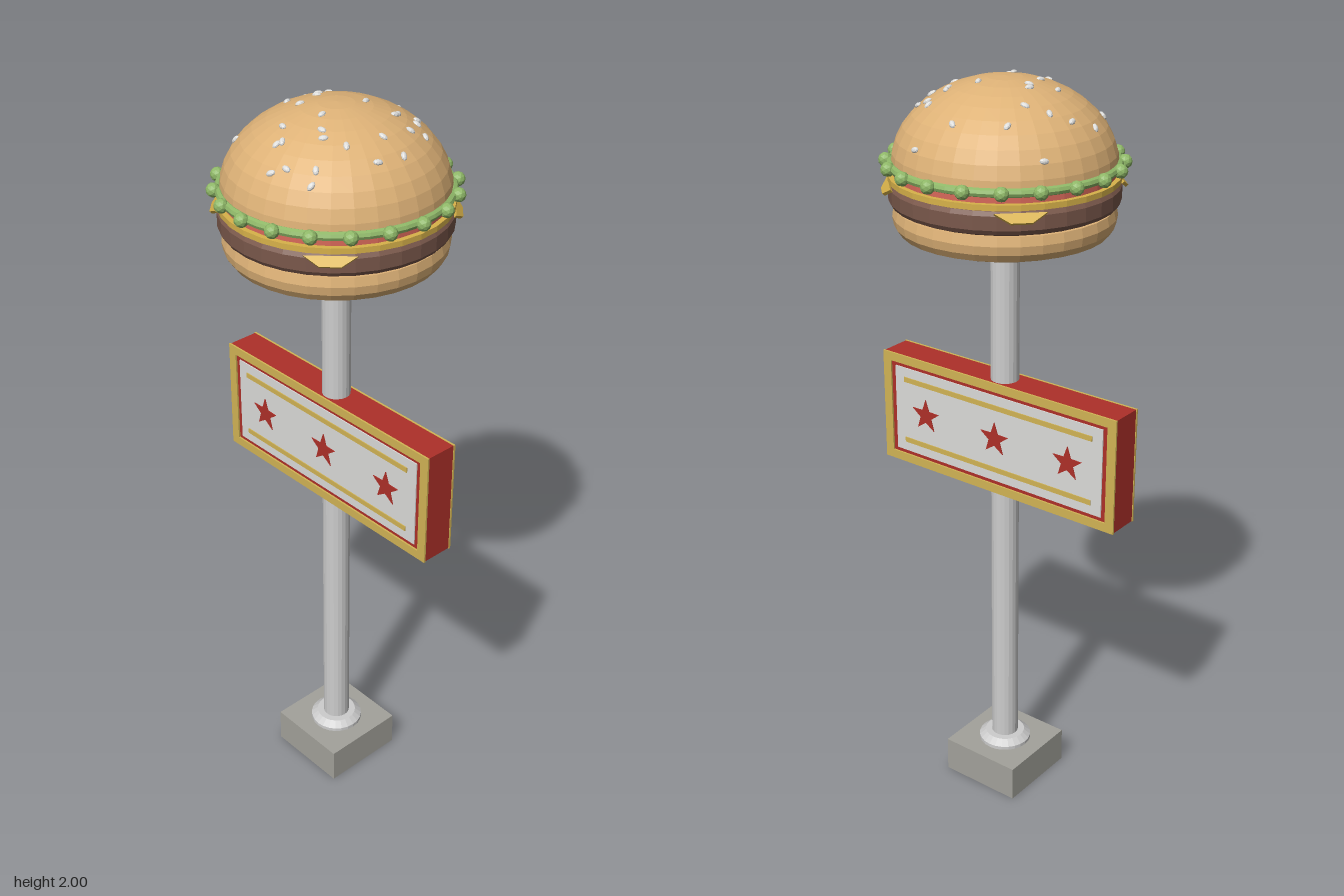
import * as THREE from 'three';

const mat = (name, color) => {
  const m = new THREE.MeshStandardMaterial({ color, flatShading: true });
  m.name = name;
  return m;
};

export function createModel() {
  const M = {
    bun: mat('toasted bun', 0xdeb277),
    patty: mat('grilled brown', 0x7a584b),
    cheese: mat('cheese yellow', 0xd8b24a),
    tomato: mat('tomato red', 0xd9695a),
    lettuce: mat('lettuce green', 0x8fb868),
    red: mat('sign red', 0xae3029),
    gold: mat('trim gold', 0xd2b455),
    white: mat('panel white', 0xdcdcda),
    steel: mat('pole grey', 0xcdcdcd),
    concrete: mat('concrete grey', 0xa3a29b),
  };
  const root = new THREE.Group();
  root.name = 'burgerSign';
  const add = (parent, name, geo, material, x = 0, y = 0, z = 0) => {
    const mesh = new THREE.Mesh(geo, material);
    mesh.name = name;
    mesh.position.set(x, y, z);
    parent.add(mesh);
    return mesh;
  };
  const lathe = (pts, seg = 32) =>
    new THREE.LatheGeometry(pts.map(([r, y]) => new THREE.Vector2(r, y)), seg);
  const plate = (shape, depth) =>
    new THREE.ExtrudeGeometry(shape, { depth, bevelEnabled: false });
  const rect = (C, w, h) => {
    const s = new C();
    s.moveTo(-w, -h); s.lineTo(w, -h); s.lineTo(w, h); s.lineTo(-w, h); s.closePath();
    return s;
  };

  // Base, collar and pole
  add(root, 'base', new THREE.BoxGeometry(0.236, 0.1, 0.236), M.concrete, 0, 0.05, 0);
  add(root, 'collar', lathe([[0, 0.1], [0.073, 0.1], [0.073, 0.11], [0.055, 0.125], [0, 0.125]], 24), M.steel);
  add(root, 'pole', new THREE.CylinderGeometry(0.037, 0.037, 1.53, 20), M.steel, 0, 0.865, 0);

  // Sign box with the same decorated face on front and back
  const sign = new THREE.Group();
  sign.name = 'signBoard';
  sign.position.y = 1.067;
  root.add(sign);
  add(sign, 'signBox', new THREE.BoxGeometry(0.752, 0.312, 0.084), M.red);

  const frameShape = rect(THREE.Shape, 0.378, 0.157);
  frameShape.holes.push(rect(THREE.Path, 0.352, 0.133));
  const frameGeo = plate(frameShape, 0.005);
  const star = new THREE.Shape();
  for (let i = 0; i < 10; i++) {
    const r = i % 2 ? 0.019 : 0.047, a = Math.PI / 2 + (i * Math.PI) / 5;
    star[i ? 'lineTo' : 'moveTo'](r * Math.cos(a), r * Math.sin(a));
  }
  star.closePath();
  const starGeo = plate(star, 0.003);
  for (const side of [0, 1]) {
    const face = new THREE.Group();
    face.name = side ? 'backFace' : 'frontFace';
    face.rotation.y = side * Math.PI;
    sign.add(face);
    add(face, 'frame', frameGeo, M.gold, 0, 0, 0.042);
    add(face, 'panel', new THREE.BoxGeometry(0.676, 0.244, 0.003), M.white, 0, 0, 0.0435);
    for (const s of [-1, 1])
      add(face, 'stripe', new THREE.BoxGeometry(0.614, 0.014, 0.003), M.gold, 0, s * 0.089, 0.046);
    for (const x of [-0.233, 0, 0.233]) add(face, 'star', starGeo, M.red, x, 0, 0.0445);
  }

  // Burger layers, bottom to top
  const burger = new THREE.Group();
  burger.name = 'burger';
  root.add(burger);
  add(burger, 'bottomBun', lathe([[0, 1.618], [0.238, 1.618], [0.26, 1.626], [0.273, 1.645],
    [0.277, 1.667], [0.272, 1.69], [0, 1.69]]), M.bun);
  add(burger, 'patty', lathe([[0, 1.685], [0.262, 1.69], [0.278, 1.697], [0.285, 1.708],
    [0.285, 1.742], [0.278, 1.752], [0.262, 1.757], [0, 1.757]]), M.patty);
  add(burger, 'cheese', new THREE.CylinderGeometry(0.285, 0.285, 0.014, 32), M.cheese, 0, 1.762, 0);
  add(burger, 'tomato', new THREE.CylinderGeometry(0.272, 0.272, 0.022, 32), M.tomato, 0, 1.779, 0);

  // Cheese corners drooping over the patty
  const corner = new THREE.Shape();
  corner.moveTo(-0.062, 0);
  corner.lineTo(0.062, 0);
  corner.lineTo(0.025, -0.026);
  corner.lineTo(-0.025, -0.026);
  corner.closePath();
  const cornerGeo = plate(corner, 0.008);
  cornerGeo.rotateX(-0.75);
  for (let i = 0; i < 4; i++) {
    const a = Math.PI / 4 + (i * Math.PI) / 2;
    const c = add(burger, 'cheeseCorner', cornerGeo, M.cheese, Math.sin(a) * 0.277, 1.745, Math.cos(a) * 0.277);
    c.rotation.y = a;
  }

  // Lettuce ring with ruffles
  const ring = new THREE.TorusGeometry(0.277, 0.011, 8, 40);
  ring.rotateX(Math.PI / 2);
  add(burger, 'lettuceRing', ring, M.lettuce, 0, 1.795, 0);
  const ruffle = new THREE.IcosahedronGeometry(0.018, 1);
  for (let i = 0; i < 20; i++) {
    const a = (i * Math.PI) / 10;
    add(burger, 'lettuceRuffle', ruffle, M.lettuce, Math.sin(a) * 0.29, 1.796, Math.cos(a) * 0.29);
  }

  // Domed top bun
  const R = 0.277, H = 0.212, Y = 1.788;
  const dome = [[0, Y]];
  for (let i = 0; i <= 10; i++) {
    const a = (i / 10) * (Math.PI / 2);
    dome.push([i === 10 ? 0 : R * Math.cos(a), Y + H * Math.sin(a)]);
  }
  add(burger, 'topBun', lathe(dome), M.bun);

  // Sesame seeds lying on the dome: x, z in hundredths
  const seeds = [
    [7, -25], [-1, -21], [-13, -16], [-22, -14], [-12.7, -9], [-17.5, -6], [-21, -2], [-9, -2.4],
    [-7.7, -0.8], [-23, 4.6], [-12.4, 4.2], [-6.5, 5.4], [-17.3, 16], [-2.6, 14], [1, 17.3], [0.2, 18.3],
    [3.6, 23], [6.6, 21], [12.5, 17.5], [13.5, 19.8], [8.5, 11.7], [6.5, 10.3], [13.5, 9.3], [2.4, 6.6],
    [19.8, 5.6], [15.7, 0.2], [20.8, -1.4], [3, -6.4], [10.7, -15.5], [12.7, -13.5], [16.5, -12.5],
    [9.7, -10.2], [10, -9], [15.3, -8.8],
  ];
  const seedGeo = new THREE.SphereGeometry(1, 8, 6);
  seedGeo.scale(0.012, 0.006, 0.0075);
  const up = new THREE.Vector3(0, 1, 0);
  seeds.forEach(([sx, sz], i) => {
    const x = sx / 100, z = sz / 100;
    const y = H * Math.sqrt(1 - (x * x + z * z) / (R * R));
    const normal = new THREE.Vector3(x / (R * R), y / (H * H), z / (R * R)).normalize();
    const seed = add(burger, 'sesameSeed', seedGeo, M.white, x, Y + y, z);
    seed.quaternion.setFromUnitVectors(up, normal)
      .multiply(new THREE.Quaternion().setFromAxisAngle(up, i * 2.4));
  });
  return root;
}
